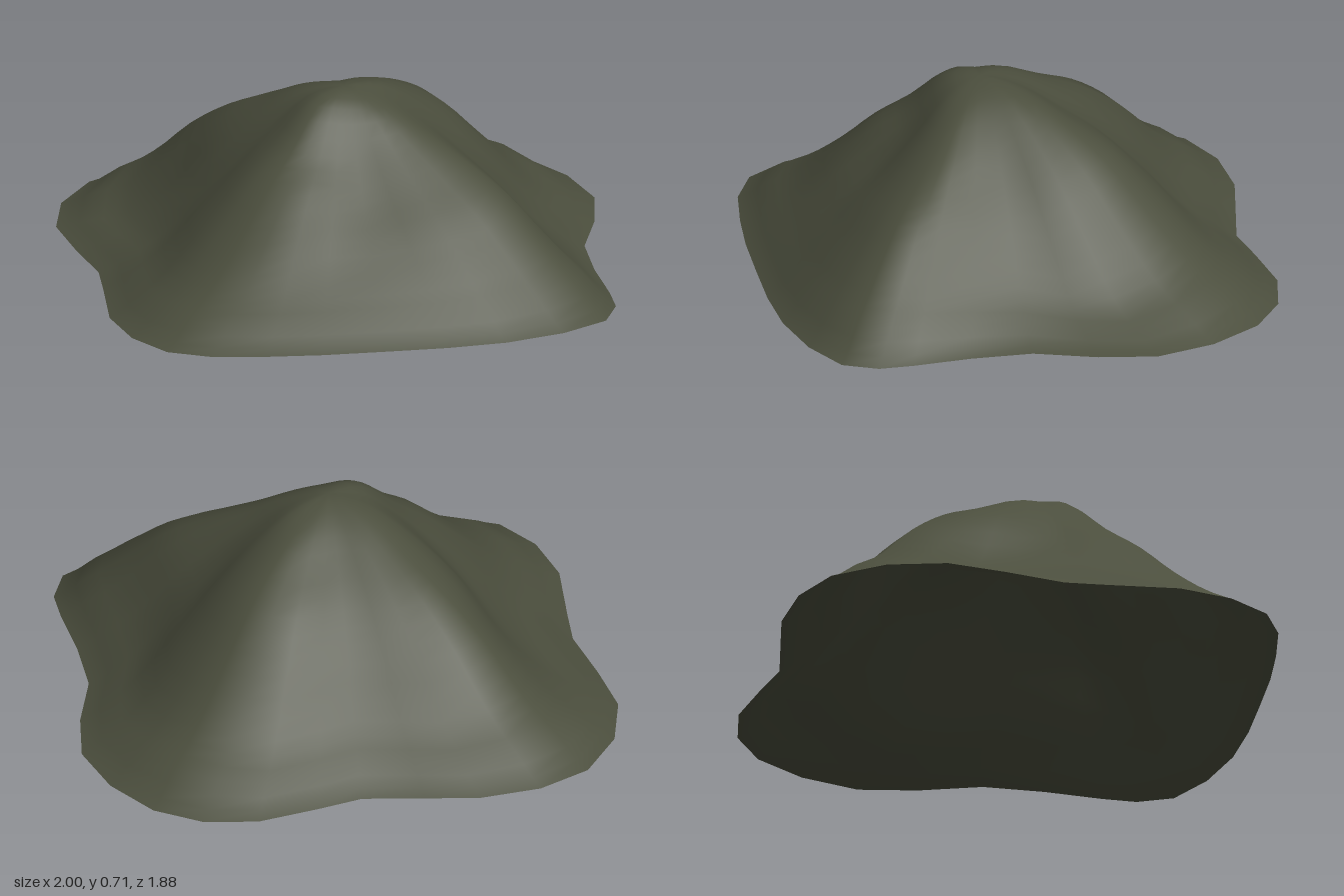
import * as THREE from 'three';

// Ground outline, 32 points from +x round through the front (+z)
const OUTLINE = [
  [0.9, 0.05], [0.905, 0.28], [0.93, 0.5], [0.935, 0.63], [0.88, 0.76], [0.71, 0.855], [0.49, 0.915], [0.27, 0.935],
  [0.04, 0.938], [-0.2, 0.938], [-0.4, 0.925], [-0.6, 0.9], [-0.76, 0.83], [-0.87, 0.68], [-0.925, 0.48], [-0.91, 0.2],
  [-0.905, 0.05], [-0.96, -0.18], [-1, -0.4], [-0.95, -0.62], [-0.82, -0.805], [-0.63, -0.895], [-0.4, -0.92], [-0.2, -0.89],
  [0.03, -0.855], [0.2, -0.895], [0.43, -0.94], [0.63, -0.91], [0.8, -0.805], [0.93, -0.62], [1, -0.4], [0.97, -0.18],
];

// Slope heights between peak and ground, one row per second outline point
const PEAK_Y = 0.715, PEAK_Z = 0.1;
const STEPS = [0, 0.15, 0.3, 0.45, 0.6, 0.75, 0.88, 1];
const SLOPES = [
  [0.685, 0.59, 0.46, 0.32, 0.165, 0.07],    // +x gully
  [0.67, 0.58, 0.485, 0.37, 0.215, 0.1],
  [0.66, 0.565, 0.475, 0.38, 0.245, 0.12],   // front +x ridge
  [0.665, 0.55, 0.44, 0.335, 0.21, 0.095],
  [0.67, 0.525, 0.4, 0.295, 0.185, 0.085],   // front gully
  [0.68, 0.54, 0.44, 0.315, 0.175, 0.08],
  [0.685, 0.55, 0.43, 0.285, 0.165, 0.085],  // front -x spur
  [0.69, 0.56, 0.435, 0.29, 0.145, 0.06],
  [0.685, 0.575, 0.425, 0.28, 0.14, 0.065],  // -x gully
  [0.68, 0.58, 0.44, 0.23, 0.095, 0.045],
  [0.675, 0.585, 0.495, 0.37, 0.205, 0.1],   // back -x ridge
  [0.672, 0.59, 0.485, 0.34, 0.175, 0.08],
  [0.675, 0.585, 0.48, 0.345, 0.185, 0.085], // back gully
  [0.678, 0.588, 0.49, 0.335, 0.17, 0.075],
  [0.682, 0.61, 0.505, 0.345, 0.195, 0.105], // back +x ridge
  [0.688, 0.592, 0.465, 0.295, 0.13, 0.05],
].map((row) => [PEAK_Y, ...row, 0]);
const SUB = 3; // rings per step

function catmull(a, b, c, d, f) {
  return b + 0.5 * f * (c - a + f * (2 * a - 5 * b + 4 * c - d + f * (3 * (b - c) + d - a)));
}

// Height on a spoke at a (fractional) step; mirrored at the peak to round it
function heightAt(spoke, step) {
  const rows = SLOPES.length, k = Math.floor(spoke / 2), f = (spoke % 2) / 2;
  const column = (j) => {
    const c = Math.min(Math.abs(j), STEPS.length - 1);
    const row = (n) => SLOPES[(k + n + rows) % rows][c];
    return catmull(row(-1), row(0), row(1), row(2), f);
  };
  const s = Math.min(Math.floor(step), STEPS.length - 2);
  return catmull(column(s - 1), column(s), column(s + 1), column(s + 2), step - s);
}

function hillGeometry() {
  const n = OUTLINE.length, rings = (STEPS.length - 1) * SUB;
  const pos = [0, PEAK_Y, PEAK_Z], index = [];
  for (let r = 1; r <= rings; r++) {
    const step = r / SUB, s = Math.min(Math.floor(step), STEPS.length - 2);
    const t = THREE.MathUtils.lerp(STEPS[s], STEPS[s + 1], step - s);
    OUTLINE.forEach(([x, z], i) => {
      const y = r === rings ? 0 : Math.max(0, heightAt(i, step));
      pos.push(x * t, y, PEAK_Z + (z - PEAK_Z) * t);
    });
  }
  for (let i = 0; i < n; i++) {
    const j = (i + 1) % n;
    index.push(0, 1 + j, 1 + i);
    for (let r = 0; r < rings - 1; r++) {
      const a = 1 + r * n + i, b = 1 + r * n + j;
      index.push(a, b, b + n, a, b + n, a + n);
    }
  }
  const g = new THREE.BufferGeometry();
  g.setAttribute('position', new THREE.Float32BufferAttribute(pos, 3));
  g.setIndex(index);
  g.computeVertexNormals();
  return g;
}

export function createModel() {
  const group = new THREE.Group();
  group.name = 'hill';
  // Open shell, visible from inside as well
  const moss = new THREE.MeshStandardMaterial({ color: 0x4b4e3d, side: THREE.DoubleSide });
  moss.name = 'mossy earth';
  const hill = new THREE.Mesh(hillGeometry(), moss);
  hill.name = 'hillside';
  group.add(hill);
  return group;
}
